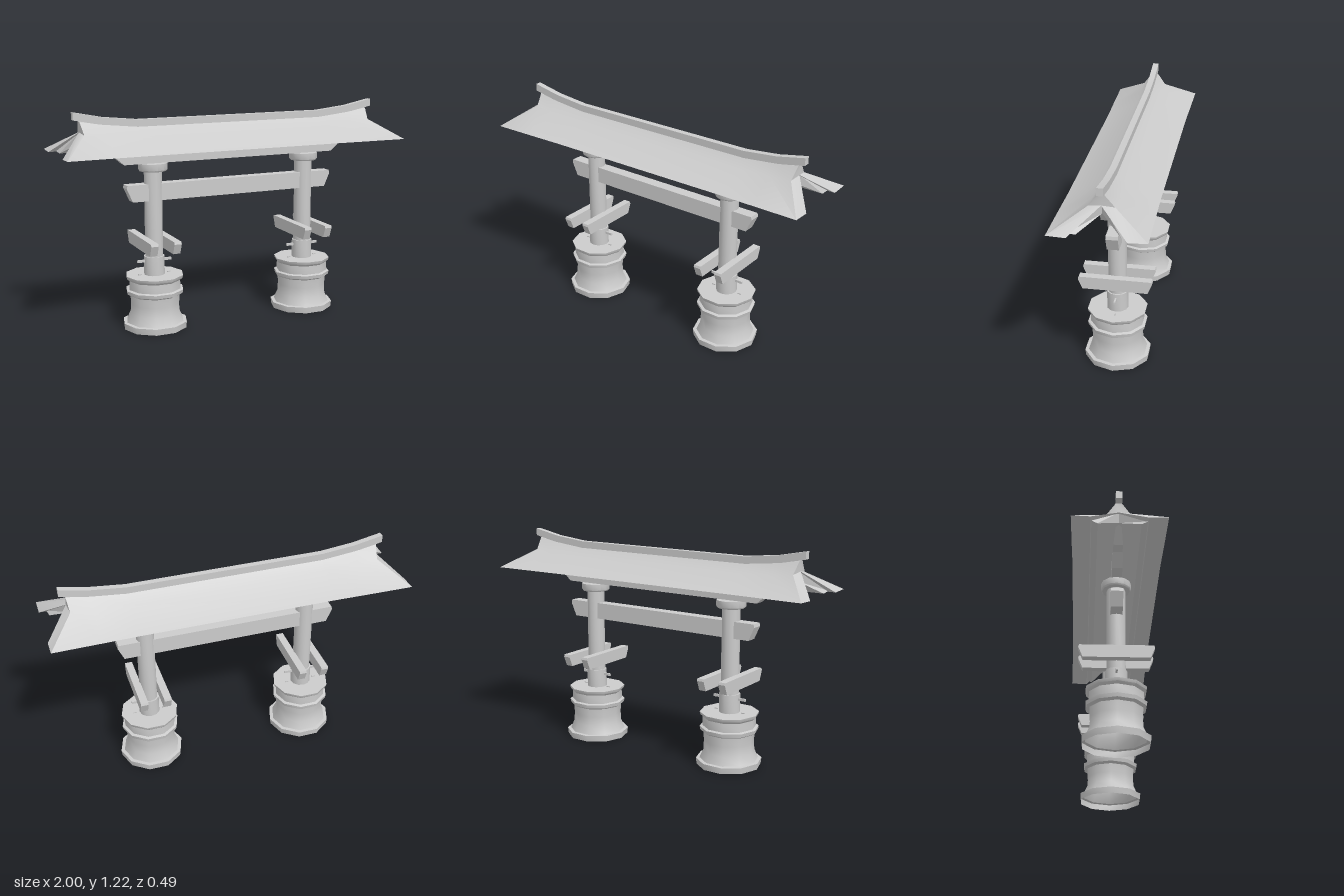
import * as THREE from 'three';
import { toCreasedNormals } from 'three/addons/utils/BufferGeometryUtils.js';

const material = new THREE.MeshStandardMaterial({ color: 0xcccccc });
const openMaterial = new THREE.MeshStandardMaterial({ color: 0xcccccc, side: THREE.DoubleSide });

function add(parent, name, geometry, x = 0, y = 0, z = 0) {
  const mesh = new THREE.Mesh(geometry, material);
  mesh.name = name;
  mesh.position.set(x, y, z);
  parent.add(mesh);
  return mesh;
}

// Turned part with few sides; profile is [radius, y] from bottom to top
function turned(profile, sides) {
  const g = new THREE.LatheGeometry(profile.map(p => new THREE.Vector2(...p)), sides);
  g.rotateY(Math.PI / 2);
  return toCreasedNormals(g, 0.7);
}

// Board cut from a side outline, thickness centred on z = 0
function board(outline, depth) {
  const shape = new THREE.Shape(outline.map(p => new THREE.Vector2(...p)));
  const g = new THREE.ExtrudeGeometry(shape, { depth, bevelEnabled: false });
  return g.translate(0, 0, -depth / 2);
}

const mirrorX = half => [...half, ...half.map(([x, y]) => [-x, y]).reverse()];

// Solid running along x through equal-sized rings of [x, y, z], with capped ends.
// Rings go from -x to +x, each counter-clockwise in (z, y).
function loft(rings) {
  const n = rings[0].length, pos = [];
  const tri = (a, b, c) => pos.push(...a, ...b, ...c);
  for (let i = 0; i < rings.length - 1; i++) {
    for (let j = 0; j < n; j++) {
      const k = (j + 1) % n, a = rings[i], b = rings[i + 1];
      tri(a[j], b[j], a[k]);
      tri(a[k], b[j], b[k]);
    }
  }
  const first = rings[0], last = rings[rings.length - 1];
  const flat = first.map(p => new THREE.Vector2(p[2], p[1]));
  for (const [a, b, c] of THREE.ShapeUtils.triangulateShape(flat, [])) {
    tri(first[a], first[b], first[c]);
    tri(last[a], last[c], last[b]);
  }
  const g = new THREE.BufferGeometry();
  g.setAttribute('position', new THREE.Float32BufferAttribute(pos, 3));
  g.computeVertexNormals();
  return toCreasedNormals(g, 0.55);
}

// Section points [z, y, lift at the end, x of the end]; the ends curve upward
function sweptRoof(section) {
  const stations = [[-1, 1], [-0.74, 0.5], [-0.55, 0], [0.55, 0], [0.74, 0.5], [1, 1]];
  return loft(stations.map(([s, t]) => section.map(([z, y, lift, end]) =>
    [t === 1 ? s * end : s, y + lift * t, Math.abs(z) > 0.2 ? z * (0.97 + 0.03 * t) : z])));
}

function createPillar() {
  const pillar = new THREE.Group();
  pillar.name = 'pillar';

  // Hollow pedestal, open underneath
  const pedestal = add(pillar, 'pedestal', turned([
    [0.179, 0], [0.183, 0.035], [0.163, 0.037], [0.142, 0.085], [0.139, 0.14], [0.143, 0.19],
    [0.16, 0.2], [0.164, 0.22], [0.148, 0.225], [0.147, 0.275],
    [0.16, 0.287], [0.164, 0.303], [0, 0.303]], 10));
  pedestal.material = openMaterial;

  add(pillar, 'collar', turned([[0.058, 0.3], [0.058, 0.408], [0, 0.408]], 12));
  add(pillar, 'column', turned([[0.05, 0.4], [0.05, 0.9]], 12));
  add(pillar, 'capital', turned([
    [0, 0.885], [0.075, 0.885], [0.081, 0.893], [0.081, 0.928], [0, 0.928]], 12));

  // Peg through the collar and small pins on the pedestal
  add(pillar, 'collarPeg', new THREE.BoxGeometry(0.2, 0.014, 0.01), 0, 0.381, 0);
  for (const side of [-1, 1]) {
    add(pillar, 'pedestalPin', new THREE.BoxGeometry(0.02, 0.01, 0.008), side * 0.085, 0.304, 0);
    // Short boards clasping the column, running front to back
    const brace = board(mirrorX([[0.175, 0.45], [0.198, 0.507], [0.194, 0.52]]), 0.042);
    brace.rotateY(Math.PI / 2);
    add(pillar, 'braceBoard', brace, side * 0.066, 0, 0);
  }
  return pillar;
}

export function createModel() {
  const model = new THREE.Group();
  model.name = 'gate';

  for (const side of [-1, 1]) {
    const pillar = createPillar();
    pillar.position.x = side * 0.465;
    model.add(pillar);
  }

  // Cross beams
  add(model, 'tieBeam', board(mirrorX([[0.592, 0.722], [0.626, 0.797], [0.622, 0.815]]), 0.064));
  add(model, 'lintel', board(mirrorX([[0.635, 0.928], [0.7, 0.985]]), 0.056));
  const upper = [[0.025, 0.985, 0.77], [0.014, 1.07, 0.84], [-0.014, 1.07, 0.84], [-0.025, 0.985, 0.77]];
  add(model, 'upperLintel', loft([-1, 1].map(s => upper.map(([z, y, x]) => [s * x, y, z]))));

  // Lower roof layer
  add(model, 'roofLining', sweptRoof([
    [0.145, 1.004, 0, 0.96], [0, 1.115, 0.006, 0.86], [-0.145, 1.004, 0, 0.96],
    [-0.11, 0.993, 0, 0.95], [0, 1.064, 0, 0.85], [0.11, 0.993, 0, 0.95]]));

  // Main roof with flared eaves
  add(model, 'roof', sweptRoof([
    [0.243, 1.003, 0, 1], [0.065, 1.085, 0.02, 0.86], [0.016, 1.13, 0.04, 0.87],
    [-0.016, 1.13, 0.04, 0.87], [-0.065, 1.085, 0.02, 0.86], [-0.243, 1.003, 0, 1],
    [-0.145, 0.999, 0, 1], [0, 1.11, 0.005, 0.87], [0.145, 0.999, 0, 1]]));

  // Upswept ridge beam
  const ridge = [[-0.905, 0.053], [-0.74, 0.02], [-0.55, 0], [0.55, 0], [0.74, 0.02], [0.905, 0.053]];
  add(model, 'ridgeBeam', loft(ridge.map(([x, lift]) => [
    [x, 1.127 + lift, 0.017], [x, 1.168 + lift, 0.017],
    [x, 1.168 + lift, -0.017], [x, 1.127 + lift, -0.017]])));

  return model;
}
